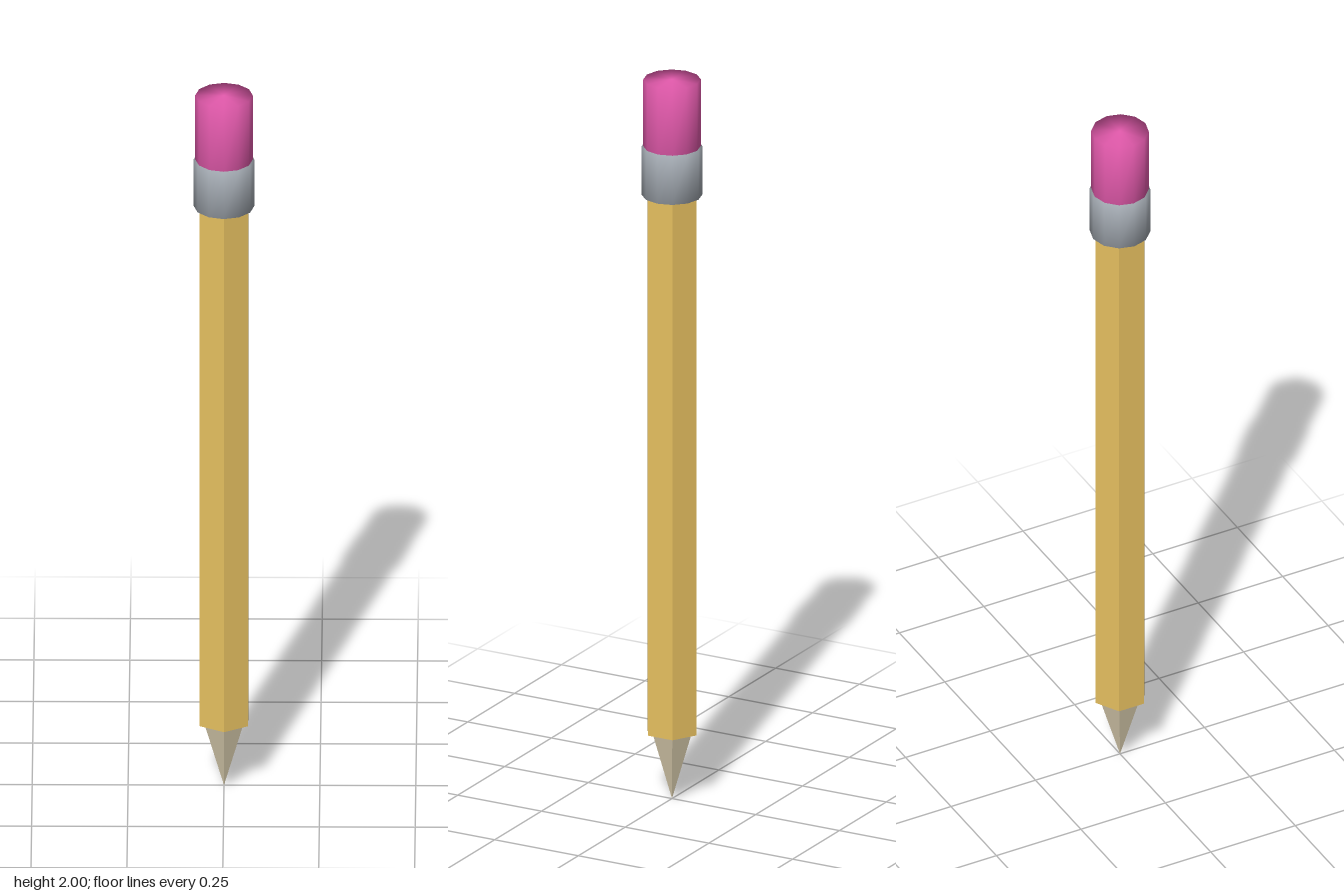
import * as THREE from 'three';
import { mergeVertices } from 'three/addons/utils/BufferGeometryUtils.js';

// Upright prism or cone between two heights; rounded parts share normals across their rims.
function part(name, color, topR, bottomR, y0, y1, sides, smooth) {
  let geo = new THREE.CylinderGeometry(topR, bottomR, y1 - y0, sides);
  if (smooth) {
    geo.deleteAttribute('normal');
    geo.deleteAttribute('uv');
    geo = mergeVertices(geo, 1e-4);
    geo.computeVertexNormals();
  }
  const mesh = new THREE.Mesh(geo, new THREE.MeshStandardMaterial({ color, flatShading: !smooth }));
  mesh.name = name;
  mesh.position.y = (y0 + y1) / 2;
  return mesh;
}

export function createModel() {
  const pencil = new THREE.Group();
  pencil.name = 'pencil';
  pencil.add(
    // sharpened point, a six-sided cone
    part('sharpenedTip', 0xdccfb0, 0.058, 0, 0.005, 0.193, 6, false),
    // hexagonal shaft with corners at front and back
    part('shaft', 0xe6c060, 0.073, 0.073, 0.193, 1.69, 6, false),
    // metal band
    part('ferrule', 0xa6adb5, 0.079, 0.079, 1.68, 1.815, 12, true),
    // rubber end
    part('eraser', 0xe85cb0, 0.075, 0.075, 1.80, 2.0, 12, true),
  );
  return pencil;
}
